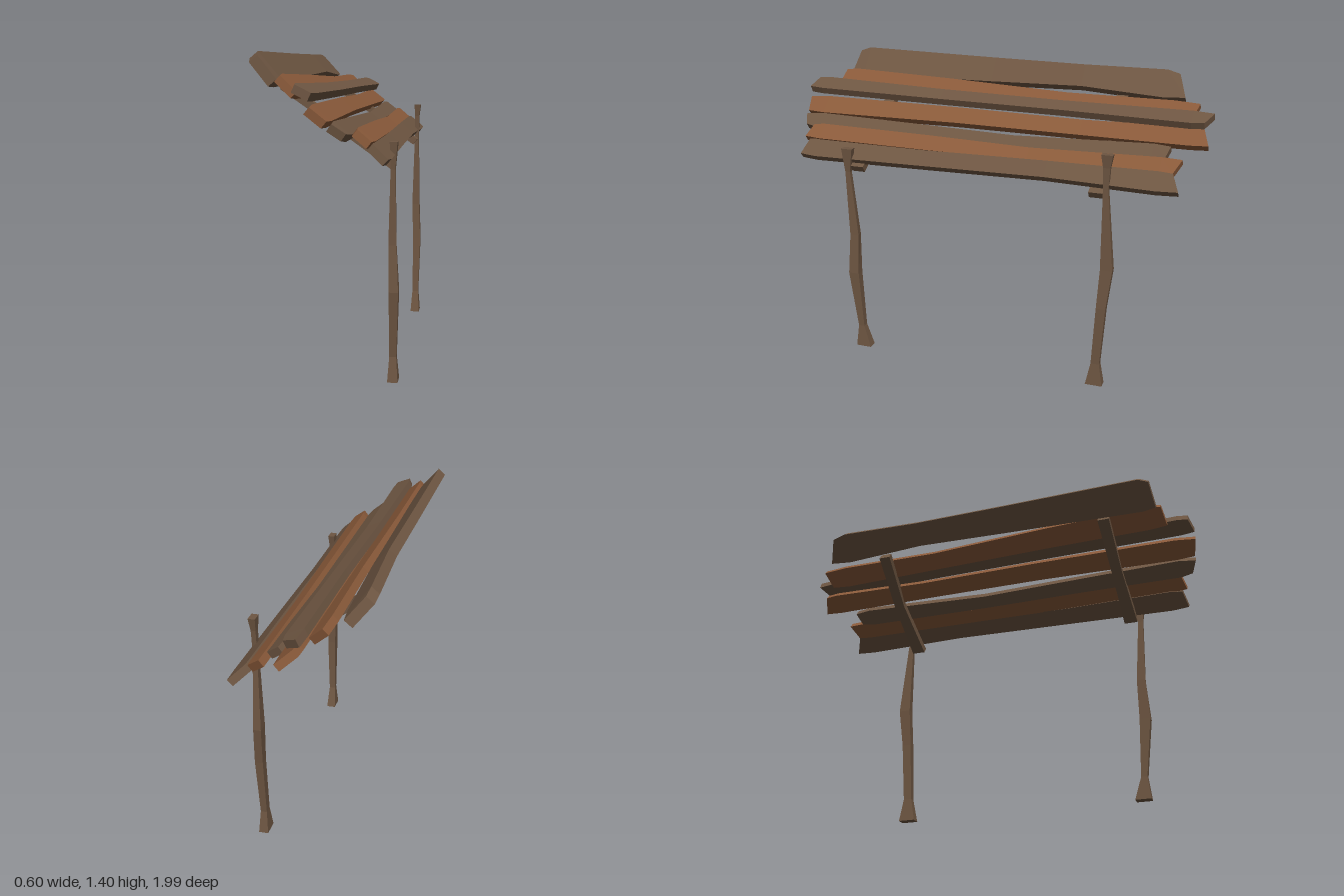
import * as THREE from 'three';

const grayWood = new THREE.MeshStandardMaterial({ color: 0x6e5642, flatShading: true });
grayWood.name = 'grayBrownWood';
const warmWood = new THREE.MeshStandardMaterial({ color: 0x8a5a3a, flatShading: true });
warmWood.name = 'warmBrownWood';

// Solid with four-cornered cross-sections; corners run anticlockwise seen from the far end
function loft(name, rings, material) {
  const pos = [];
  const quad = (a, b, c, d) => [a, b, c, a, c, d].forEach((p) => pos.push(p.x, p.y, p.z));
  for (let i = 0; i < rings.length - 1; i++) {
    for (let j = 0; j < 4; j++) {
      const k = (j + 1) % 4;
      quad(rings[i][j], rings[i][k], rings[i + 1][k], rings[i + 1][j]);
    }
  }
  const [a, b, c, d] = rings[0];
  quad(d, c, b, a);
  quad(...rings[rings.length - 1]);
  const geo = new THREE.BufferGeometry();
  geo.setAttribute('position', new THREE.Float32BufferAttribute(pos, 3));
  geo.computeVertexNormals();
  const mesh = new THREE.Mesh(geo, material);
  mesh.name = name;
  return mesh;
}

const corners = [[-1, -1], [1, -1], [1, 1], [-1, 1]];

// Roof plank along z; sections are [z, x, y, width, skew of the end cut]
function plank(name, material, degrees, thickness, sections) {
  const a = THREE.MathUtils.degToRad(degrees);
  const rings = sections.map(([z, x, y, w, skew = 0]) => corners.map(([s, t]) => {
    const u = s * w / 2, v = t * thickness / 2;
    return new THREE.Vector3(
      x + u * Math.cos(a) + v * Math.sin(a),
      y - u * Math.sin(a) + v * Math.cos(a),
      z + s * skew);
  }));
  return loft(name, rings, material);
}

// Upright post; sections are [y, x, z, width in x, width in z, twist]
function post(name, sections) {
  const rings = sections.map(([y, x, z, wx, wz, twist = 0]) => corners.map(([s, t]) => {
    const c = Math.cos(twist), n = Math.sin(twist);
    return new THREE.Vector3(x + (t * c + s * n) * wx / 2, y, z + (s * c - t * n) * wz / 2);
  }));
  return loft(name, rings, grayWood);
}

// Sloping beam beneath the planks; sections are [x, y, z, width, thickness]
function rafter(name, sections) {
  const rings = sections.map(([x, y, z, w, h]) => corners.map(([s, t]) =>
    new THREE.Vector3(x + t * h / 2 * 0.565, y + t * h / 2 * 0.825, z + s * w / 2)));
  return loft(name, rings, grayWood);
}

export function createModel() {
  const group = new THREE.Group();
  group.name = 'leanToShelter';

  group.add(
    // Posts with flared feet and heads
    post('leftPost', [
      [0, 0.272, 0.62, 0.045, 0.076], [0.11, 0.272, 0.63, 0.03, 0.03],
      [0.4, 0.276, 0.652, 0.04, 0.052], [0.6, 0.268, 0.645, 0.034, 0.042, 0.1],
      [0.92, 0.271, 0.662, 0.02, 0.024], [1.035, 0.274, 0.658, 0.032, 0.054]]),
    post('rightPost', [
      [0, 0.272, -0.568, 0.045, 0.08], [0.11, 0.272, -0.57, 0.03, 0.04],
      [0.4, 0.276, -0.588, 0.038, 0.044], [0.59, 0.268, -0.604, 0.036, 0.056],
      [0.97, 0.271, -0.586, 0.02, 0.024], [1.07, 0.272, -0.587, 0.022, 0.032],
      [1.13, 0.274, -0.588, 0.032, 0.052]]),

    // Rafters
    rafter('leftRafter', [
      [0.268, 0.935, 0.615, 0.065, 0.036], [0.03, 1.1, 0.6, 0.05, 0.034],
      [-0.205, 1.262, 0.59, 0.055, 0.036]]),
    rafter('rightRafter', [
      [0.268, 0.935, -0.54, 0.065, 0.036], [0.03, 1.1, -0.558, 0.05, 0.034],
      [-0.205, 1.262, -0.547, 0.055, 0.036]]),

    // Planks from the high edge down to the low edge
    plank('topPlank', grayWood, 50, 0.045, [
      [-0.82, -0.245, 1.32, 0.12, -0.02], [-0.74, -0.243, 1.326, 0.145],
      [-0.35, -0.236, 1.338, 0.115], [0.1, -0.236, 1.334, 0.13],
      [0.78, -0.236, 1.332, 0.152], [0.835, -0.236, 1.326, 0.125, 0.008]]),
    plank('secondPlank', warmWood, 43, 0.035, [
      [-0.905, -0.108, 1.24, 0.085, 0.012], [-0.8, -0.11, 1.24, 0.1],
      [-0.3, -0.113, 1.243, 0.085], [0.3, -0.13, 1.256, 0.1],
      [0.8, -0.137, 1.264, 0.11], [0.87, -0.137, 1.264, 0.095, 0.008]]),
    plank('raisedPlank', grayWood, 25, 0.035, [
      [-0.975, -0.02, 1.233, 0.07, 0.018], [-0.9, -0.02, 1.234, 0.085],
      [-0.3, -0.03, 1.235, 0.07], [0.3, -0.045, 1.236, 0.075],
      [0.93, -0.052, 1.245, 0.09], [0.985, -0.052, 1.245, 0.075, 0.01]]),
    plank('middlePlank', warmWood, 40, 0.035, [
      [-0.97, 0.005, 1.155, 0.09, -0.015], [-0.9, 0.004, 1.155, 0.1],
      [-0.4, 0.0, 1.15, 0.085], [0.2, 0.0, 1.155, 0.09],
      [0.9, 0.003, 1.152, 0.1], [0.99, 0.003, 1.15, 0.085, -0.008]]),
    plank('fifthPlank', grayWood, 36, 0.035, [
      [-0.82, 0.1, 1.1, 0.065, 0.008], [-0.75, 0.098, 1.098, 0.085],
      [-0.1, 0.094, 1.082, 0.065], [0.4, 0.088, 1.088, 0.075],
      [0.9, 0.084, 1.092, 0.088], [0.97, 0.082, 1.092, 0.065, -0.012]]),
    plank('sixthPlank', warmWood, 38, 0.035, [
      [-0.875, 0.165, 1.06, 0.075, 0.015], [-0.8, 0.166, 1.06, 0.085],
      [-0.2, 0.168, 1.052, 0.07], [0.3, 0.17, 1.058, 0.085],
      [0.84, 0.172, 1.064, 0.088], [0.905, 0.172, 1.064, 0.075, 0.01]]),
    plank('lowPlank', grayWood, 42, 0.035, [
      [-0.88, 0.236, 1.01, 0.09, -0.018], [-0.8, 0.236, 1.01, 0.1],
      [-0.3, 0.232, 1.012, 0.085], [0.3, 0.232, 1.002, 0.085],
      [0.83, 0.234, 1.002, 0.1], [0.9, 0.234, 1.002, 0.085, 0.01]]),
  );
  return group;
}
